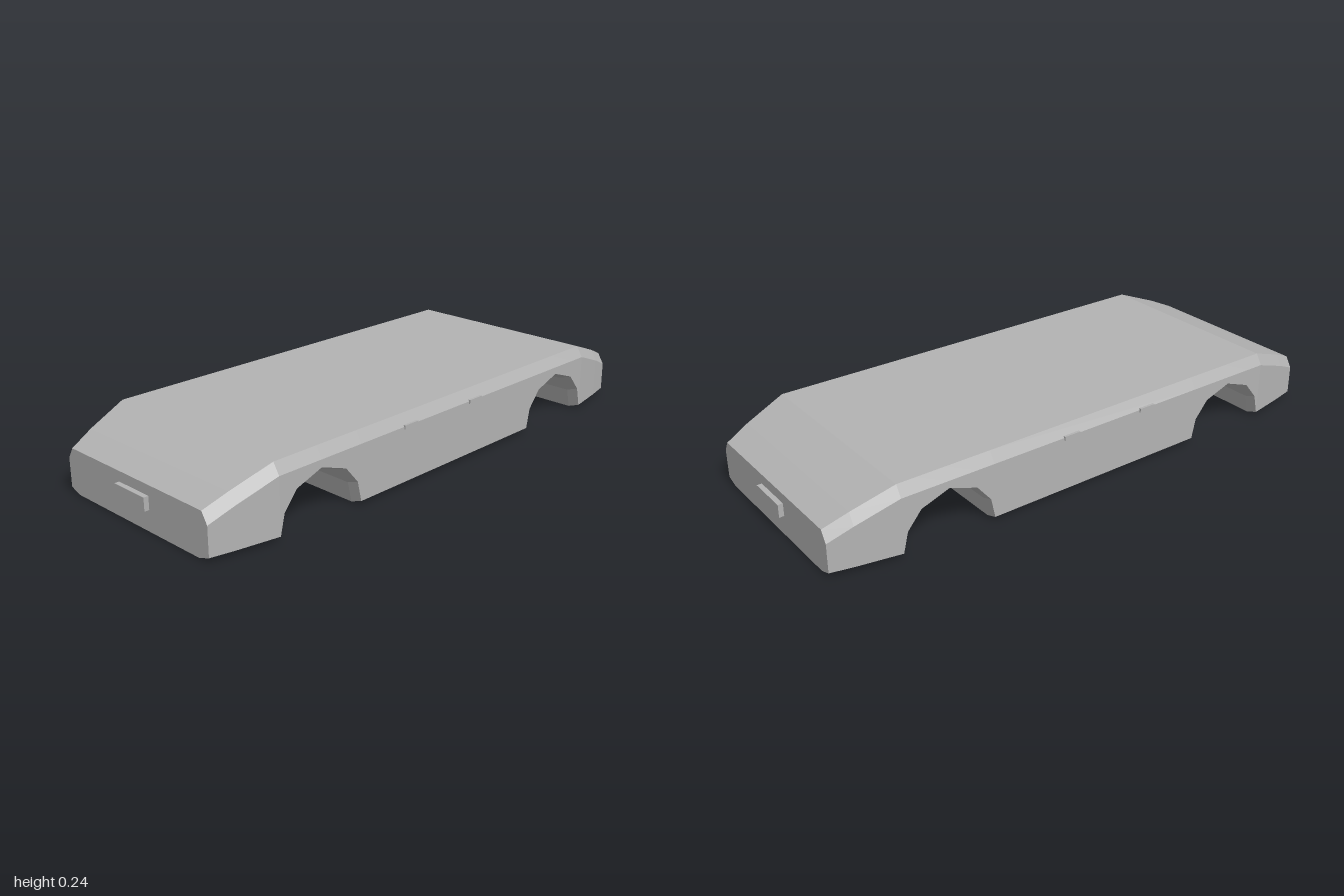
import * as THREE from 'three';

const grey = new THREE.MeshStandardMaterial({ color: 0xb3b3b3 });
grey.name = 'body grey';

// Half of the shell from middle to end: [z, half width, top y, underside y]
const half = [
  [0.425, 0.39, 0.243, 0],
  [0.44, 0.39, 0.243, 0.07],
  [0.49, 0.39, 0.243, 0.13],
  [0.59, 0.39, 0.243, 0.165],
  [0.69, 0.39, 0.243, 0.13],
  [0.74, 0.39, 0.243, 0.07],
  [0.757, 0.39, 0.243, 0],
  [0.9, 0.363, 0.19, 0],
  [0.983, 0.344, 0.153, 0],
];

// Eight-sided cross-section with chamfered shoulders and sills
function section([z, w, top, bottom]) {
  const right = [
    [w - 0.043, bottom], [w, bottom + 0.015],
    [w, top - 0.038], [w - 0.023, top],
  ];
  const left = right.map(([x, y]) => [-x, y]).reverse();
  return [...right, ...left].map(([x, y]) => [x, y, z]);
}

function shellGeometry() {
  const mirrored = half.map(([z, ...rest]) => [-z, ...rest]).reverse();
  const rings = [...mirrored, ...half].map(section);
  const n = 8;
  const pos = [];
  const tri = (a, b, c) => pos.push(...a, ...b, ...c);
  for (let s = 0; s < rings.length - 1; s++) {
    const a = rings[s], b = rings[s + 1];
    for (let i = 0; i < n; i++) {
      const j = (i + 1) % n;
      tri(a[i], a[j], b[j]);
      tri(a[i], b[j], b[i]);
    }
  }
  // Flat end faces
  const back = rings[0], front = rings[rings.length - 1];
  for (let i = 1; i < n - 1; i++) {
    tri(front[0], front[i], front[i + 1]);
    tri(back[0], back[i + 1], back[i]);
  }
  const geo = new THREE.BufferGeometry();
  geo.setAttribute('position', new THREE.Float32BufferAttribute(pos, 3));
  geo.computeVertexNormals();
  return geo;
}

export function createModel() {
  const model = new THREE.Group();
  model.name = 'carBody';

  const add = (name, geometry, x = 0, y = 0, z = 0) => {
    const mesh = new THREE.Mesh(geometry, grey);
    mesh.name = name;
    mesh.position.set(x, y, z);
    model.add(mesh);
  };

  add('bodyShell', shellGeometry());

  // Number plates at both ends
  const plate = new THREE.BoxGeometry(0.146, 0.045, 0.02);
  add('frontPlate', plate, 0, 0.095, 0.99);
  add('backPlate', plate, 0, 0.095, -0.99);

  // Two door handles on each side
  const handle = new THREE.BoxGeometry(0.012, 0.014, 0.062);
  for (const [side, x] of [['left', 0.389], ['right', -0.389]]) {
    add(side + 'FrontHandle', handle, x, 0.204, 0.2);
    add(side + 'BackHandle', handle, x, 0.204, -0.122);
  }
  return model;
}
